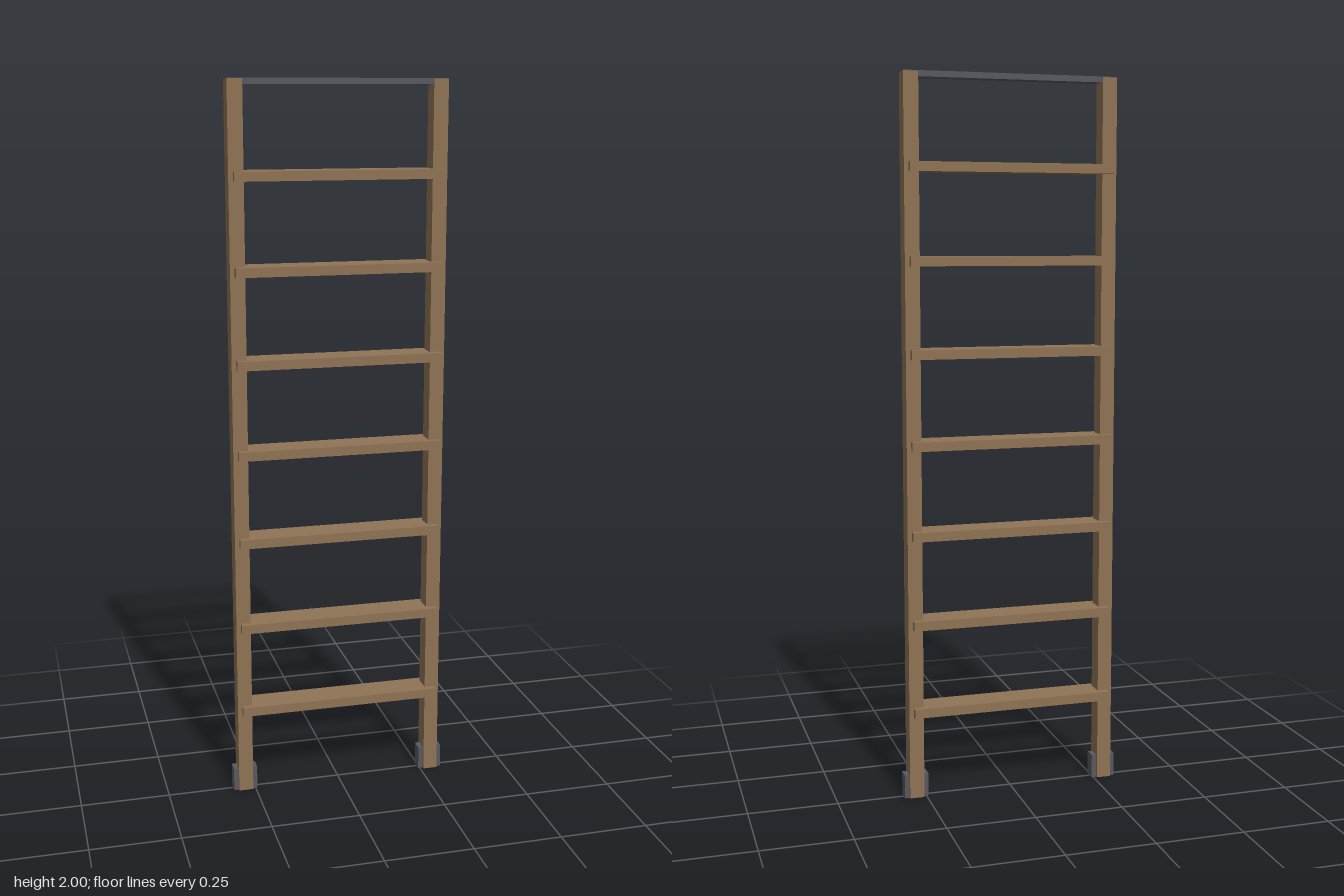
import * as THREE from 'three';

export function createModel() {
  const ladder = new THREE.Group();
  ladder.name = 'ladder';

  const wood = new THREE.MeshStandardMaterial({ color: 0x8f7355 });
  wood.name = 'wood';
  const metal = new THREE.MeshStandardMaterial({ color: 0x58595f });
  metal.name = 'dark metal';

  // Box centred on z = 0, given its size, centre x and bottom y
  function addBox(name, material, [w, h, d], x, bottom) {
    const mesh = new THREE.Mesh(new THREE.BoxGeometry(w, h, d), material);
    mesh.name = name;
    mesh.position.set(x, bottom + h / 2, 0);
    ladder.add(mesh);
  }

  // Side rails with a foot plate set through each lower end
  for (const [side, sign] of [['left', 1], ['right', -1]]) {
    addBox(side + 'Rail', wood, [0.041, 1.997, 0.051], sign * 0.279, 0.001);
    addBox(side + 'Foot', metal, [0.068, 0.067, 0.035], sign * 0.279, 0);
  }

  // Seven flat rungs, evenly spaced
  const rungHeight = 0.026;
  for (let i = 1; i <= 7; i++) {
    addBox('rung' + i, wood, [0.574, rungHeight, 0.087], 0, i * 0.25 - rungHeight / 2 + 0.001);
  }

  // Metal bar joining the rail tops
  addBox('topBar', metal, [0.596, 0.016, 0.043], 0, 1.984);

  return ladder;
}
